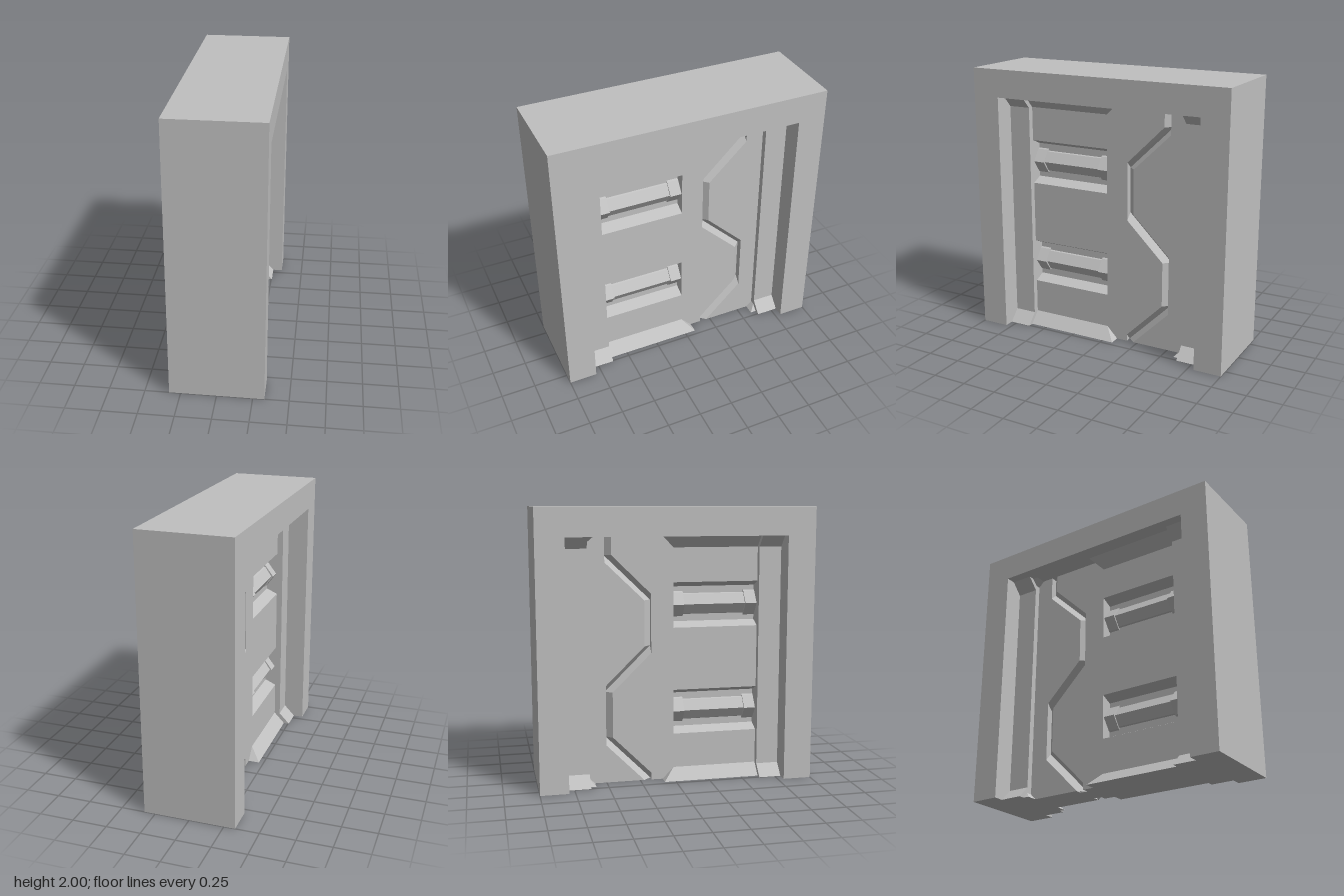
import * as THREE from 'three';
import { ConvexGeometry } from 'three/addons/geometries/ConvexGeometry.js';

// Depth levels (distance from the centre plane) and main sizes
const FACE = 0.33, CHANNEL = 0.176, PANEL = 0.133, GROOVE = 0.083, FLOOR = 0.05;
const TOP = 1.795, HALF = 0.795, STEP = 0.63, BEVEL = 0.085;

// Zigzag groove: near edge, bottom line and far edge as [z, y]
const nearEdge = [[-0.45, TOP], [-0.45, 1.66], [-0.165, 1.38], [-0.165, 0.95], [-0.45, 0.67], [-0.45, 0.335], [-0.165, 0.05]];
const bottomLine = [[-0.5, TOP], [-0.5, 1.66], [-0.165, 1.335], [-0.165, 1.0], [-0.5, 0.67], [-0.5, 0.335], [-0.165, 0]];
const farEdge = [[-0.5, TOP], [-0.5, 1.61], [-0.215, 1.335], [-0.215, 1.0], [-0.5, 0.72], [-0.5, 0.28], [-0.22, 0]];

const slotCentres = [0.505, 1.295];

export function createModel() {
  const model = new THREE.Group();
  const stone = new THREE.MeshStandardMaterial({ color: 0xc0c0c0, side: THREE.DoubleSide });
  stone.name = 'plain grey';

  const add = (name, geometry) => {
    const mesh = new THREE.Mesh(geometry, stone);
    mesh.name = name;
    model.add(mesh);
  };

  // Slab through the whole thickness, outlined in [z, y]
  const slab = (name, outline, half, holes = []) => {
    const points = (list) => list.map(([z, y]) => new THREE.Vector2(-z, y));
    const shape = new THREE.Shape(points(outline));
    holes.forEach((h) => shape.holes.push(new THREE.Path(points(h))));
    const g = new THREE.ExtrudeGeometry(shape, { depth: 2 * half, bevelEnabled: false });
    add(name, g.translate(0, 0, -half).rotateY(Math.PI / 2));
  };
  const rect = (z0, z1, y0, y1) => [[z0, y0], [z1, y0], [z1, y1], [z0, y1]];

  // Convex solid from [x, y, z] corners
  const hull = (name, corners) =>
    add(name, new ConvexGeometry(corners.map((c) => new THREE.Vector3(...c))));
  // Prism with an [x, y] section running along z
  const prism = (name, section, z0, z1, s) =>
    hull(name, [z0, z1].flatMap((z) => section.map(([x, y]) => [s * x, y, z])));

  // Surrounding frame, open at the bottom
  slab('frame', [[-1, 0], [-HALF, 0], [-HALF, TOP], [HALF, TOP], [HALF, 0], [1, 0], [1, 2], [-1, 2]], FACE);

  // Recessed panels with slot openings
  const slots = slotCentres.map((y) => rect(0, STEP, y - 0.165, y + 0.165));
  slab('slotFloor', rect(-HALF, HALF, 0, TOP), FLOOR);
  slab('panelBase', rect(-HALF, HALF, 0, TOP), GROOVE, slots);
  slab('frontPanel', [[STEP, TOP], ...nearEdge, [-0.165, 0], [STEP, 0]], PANEL, slots);
  slab('backPanel', [[-STEP, TOP], ...farEdge, [-STEP, 0]], PANEL);
  slab('frontChannel', rect(STEP, HALF, 0, TOP), CHANNEL);
  slab('backChannel', rect(-HALF, -STEP, 0, TOP), CHANNEL);

  for (const s of [1, -1]) {
    // Sloped walls of the zigzag groove
    const strip = (a, xa, b, xb) => {
      const position = [];
      for (let i = 0; i + 1 < a.length; i++) {
        const p = [[xa, a[i]], [xb, b[i]], [xa, a[i + 1]], [xb, b[i + 1]]]
          .map(([x, [z, y]]) => [s * x, y, z]);
        const order = s > 0 ? [0, 2, 1, 1, 2, 3] : [0, 1, 2, 1, 3, 2];
        order.forEach((k) => position.push(...p[k]));
      }
      const g = new THREE.BufferGeometry();
      g.setAttribute('position', new THREE.Float32BufferAttribute(position, 3));
      g.computeVertexNormals();
      add('grooveWall', g);
    };
    strip(nearEdge, PANEL, bottomLine, GROOVE);
    strip(bottomLine, GROOVE, farEdge, PANEL);

    // Sloped ledges along the bottom and top of the recess
    for (const flip of [false, true]) {
      const Y = (y) => (flip ? TOP - y : y);
      const ledge = (x) => [[x, Y(0)], [x + 0.081, Y(0)], [x, Y(BEVEL)]];
      prism('frontChannelLedge', ledge(CHANNEL), STEP, HALF, s);
      prism('backChannelLedge', ledge(CHANNEL), -HALF, -STEP, s);
      // Panel ledge with a diagonal end
      hull('panelLedge', [
        ...ledge(PANEL).map(([x, y]) => [s * x, y, STEP]),
        [s * PANEL, Y(BEVEL), 0],
        [s * PANEL, Y(0), -0.082],
        [s * (PANEL + 0.081), Y(0), -0.082],
      ]);
      // Small diagonal tip beside the back channel
      hull('ledgeTip', [
        [s * PANEL, Y(0), -STEP], [s * (PANEL + 0.081), Y(0), -STEP],
        [s * PANEL, Y(0.043), -STEP], [s * (PANEL + 0.038), Y(0.043), -STEP],
        [s * PANEL, Y(0), -0.587], [s * (PANEL + 0.081), Y(0), -0.587],
      ]);
    }

    // Slots: sloped upper and lower walls, faceted bar and its end collars
    for (const y of slotCentres) {
      for (const d of [1, -1]) {
        prism('slotBevel', [[PANEL, y + d * 0.165], [FLOOR, y + d * 0.165], [FLOOR, y + d * 0.128]], 0, STEP, s);
      }
      const bar = (r, mid, apex) => [
        [0.02, y - r], [0.052, y - mid], [apex, y], [0.052, y + mid], [0.02, y + r],
      ].map(([x, h]) => [x + 0.01, h]);
      prism('bar', bar(0.085, 0.072, 0.1), 0.085, 0.545, s);
      prism('barCollar', bar(0.105, 0.085, 0.115), 0.545, STEP, s);
      prism('barCollar', bar(0.105, 0.085, 0.115), 0, 0.085, s);
    }
  }
  return model;
}
